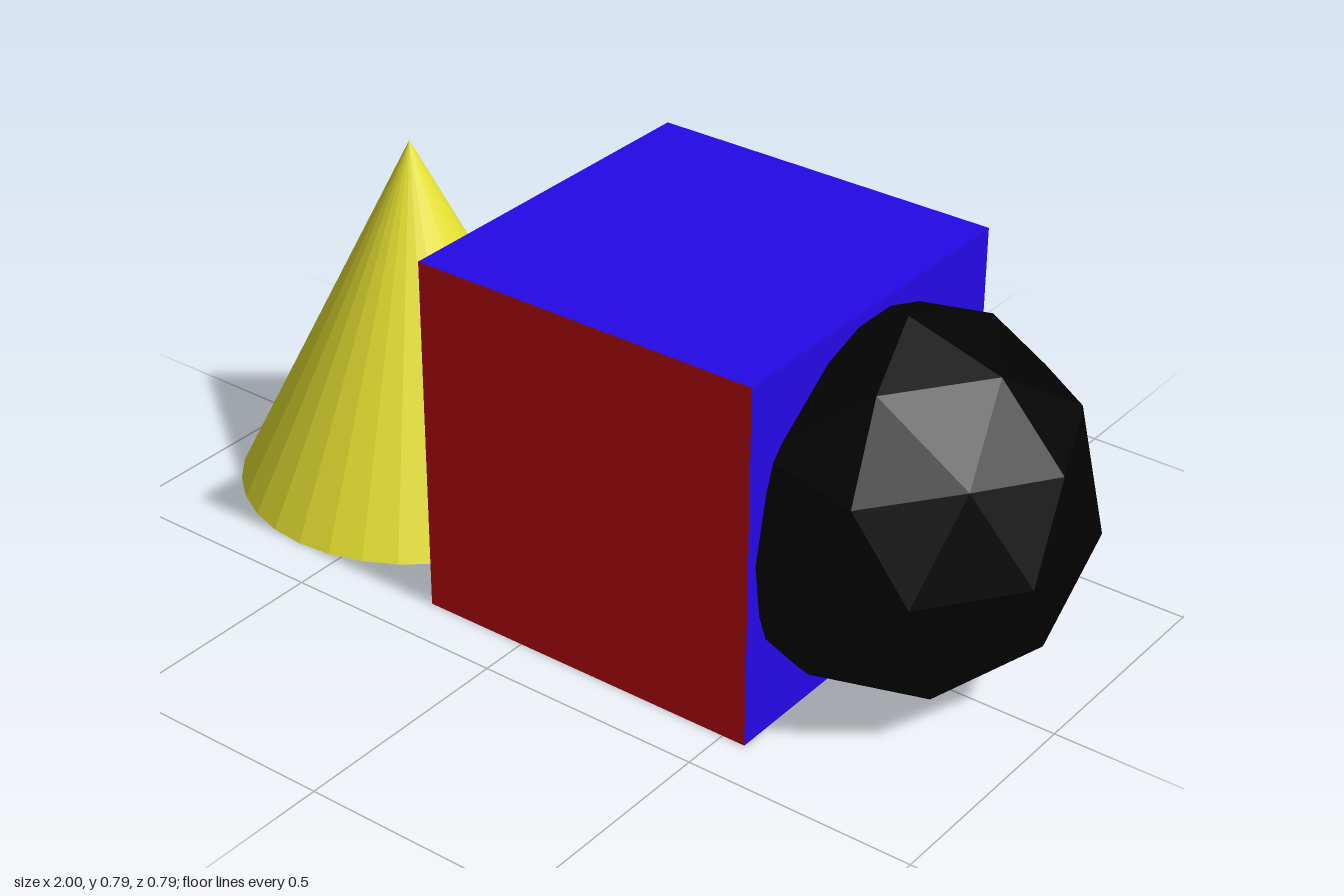
import * as THREE from 'three';

const R = 0.394; // half the height shared by all three solids

const paint = (color) => new THREE.MeshStandardMaterial({ color, flatShading: true });

export function createModel() {
  const model = new THREE.Group();
  const add = (name, geometry, material, x) => {
    const mesh = new THREE.Mesh(geometry, material);
    mesh.name = name;
    mesh.position.set(x, R, 0);
    model.add(mesh);
  };

  // Cone with 32 flat sides and a closed base
  add('cone', new THREE.ConeGeometry(R, 2 * R, 32), paint(0xe7e232), -0.606);

  // Cube: blue on +x, top and bottom; red on -x, front and back
  const red = paint(0xd40a12);
  const blue = paint(0x2508e7);
  add('cube', new THREE.BoxGeometry(2 * R, 2 * R, 2 * R), [blue, red, blue, blue, red, red], 0.158);

  // Faceted ball of 80 triangles, turned so that one corner is the top pole
  const ball = new THREE.IcosahedronGeometry(R, 1);
  ball.rotateZ(-Math.atan(2 / (1 + Math.sqrt(5))));
  add('ball', ball, paint(0x020202), 0.625);

  return model;
}
